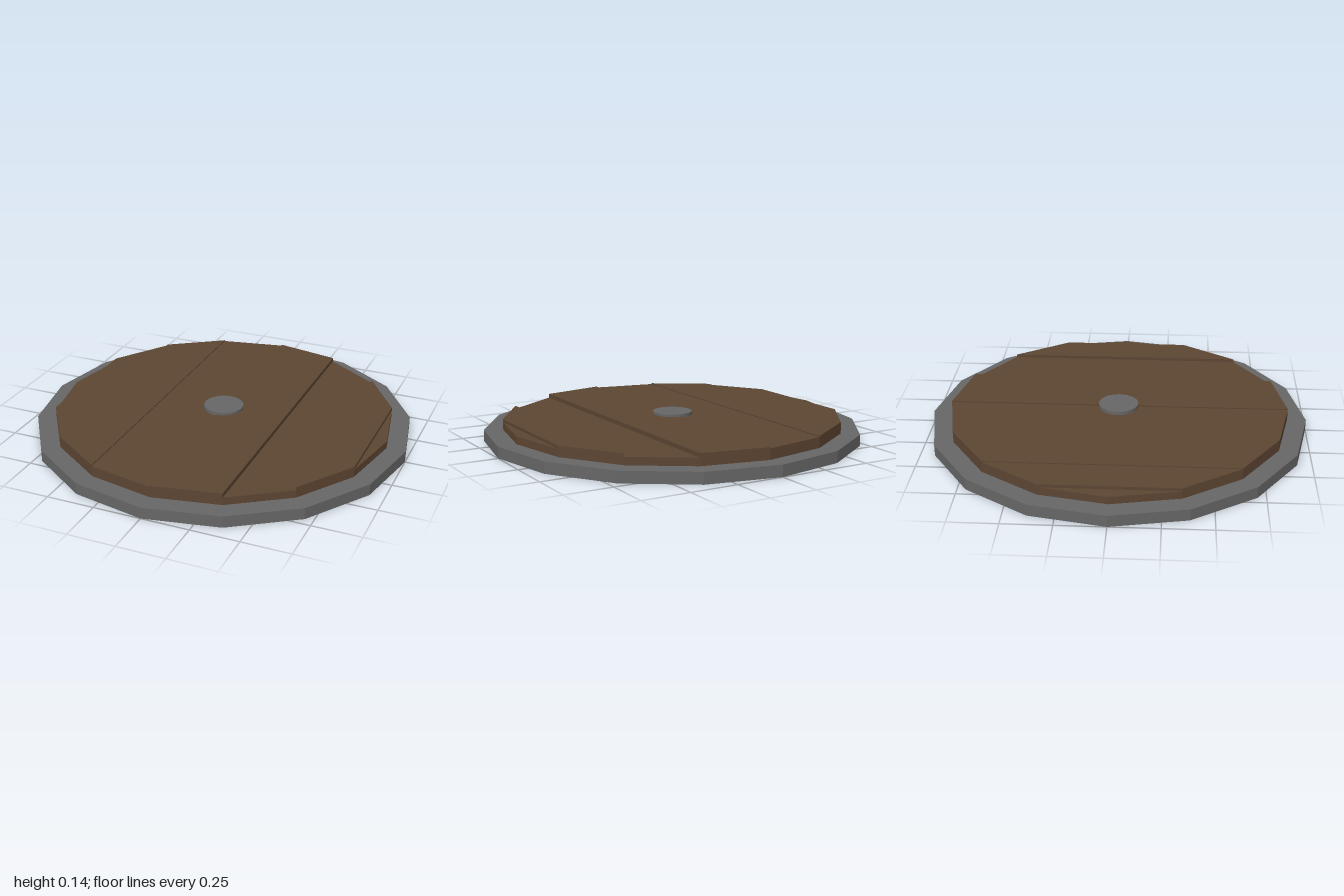
import * as THREE from 'three';

export function createModel() {
  const group = new THREE.Group();
  const iron = new THREE.MeshStandardMaterial({ color: 0x666666, flatShading: true });
  const ironSmooth = new THREE.MeshStandardMaterial({ color: 0x666666 });
  const wood = new THREE.MeshStandardMaterial({ color: 0x5d4532, flatShading: true });

  const add = (name, geometry, material, y) => {
    const mesh = new THREE.Mesh(geometry, material);
    mesh.name = name;
    mesh.position.y = y;
    group.add(mesh);
  };

  // Sixteen-sided base plate, visible as the rim
  add('rim', new THREE.CylinderGeometry(1, 1, 0.06, 16), iron, 0.03);

  // Planks along z: each spans one step of a sixteen-sided outline, with its own top height
  const radius = 0.9, bottom = 0.005;
  const tops = [0.1, 0.116, 0.121, 0.116, 0.122, 0.1, 0.116, 0.1];
  tops.forEach((top, i) => {
    const [a, b] = [i, i + 1].map(k => Math.PI - k * Math.PI / 8);
    const corner = (angle, side) =>
      new THREE.Vector2(radius * Math.cos(angle), side * radius * Math.sin(angle));
    const outline = [corner(a, -1), corner(b, -1), corner(b, 1), corner(a, 1)];
    // The end planks come to a point, so drop their doubled corner
    if (i === 0) outline.pop();
    if (i === tops.length - 1) outline.splice(2, 1);
    const plank = new THREE.ExtrudeGeometry(new THREE.Shape(outline),
      { depth: top - bottom, bevelEnabled: false });
    plank.rotateX(-Math.PI / 2);
    add('plank' + (i + 1), plank, wood, bottom);
  });

  // Round centre boss
  add('boss', new THREE.CylinderGeometry(0.105, 0.105, 0.075, 32), ironSmooth, 0.0975);

  return group;
}
